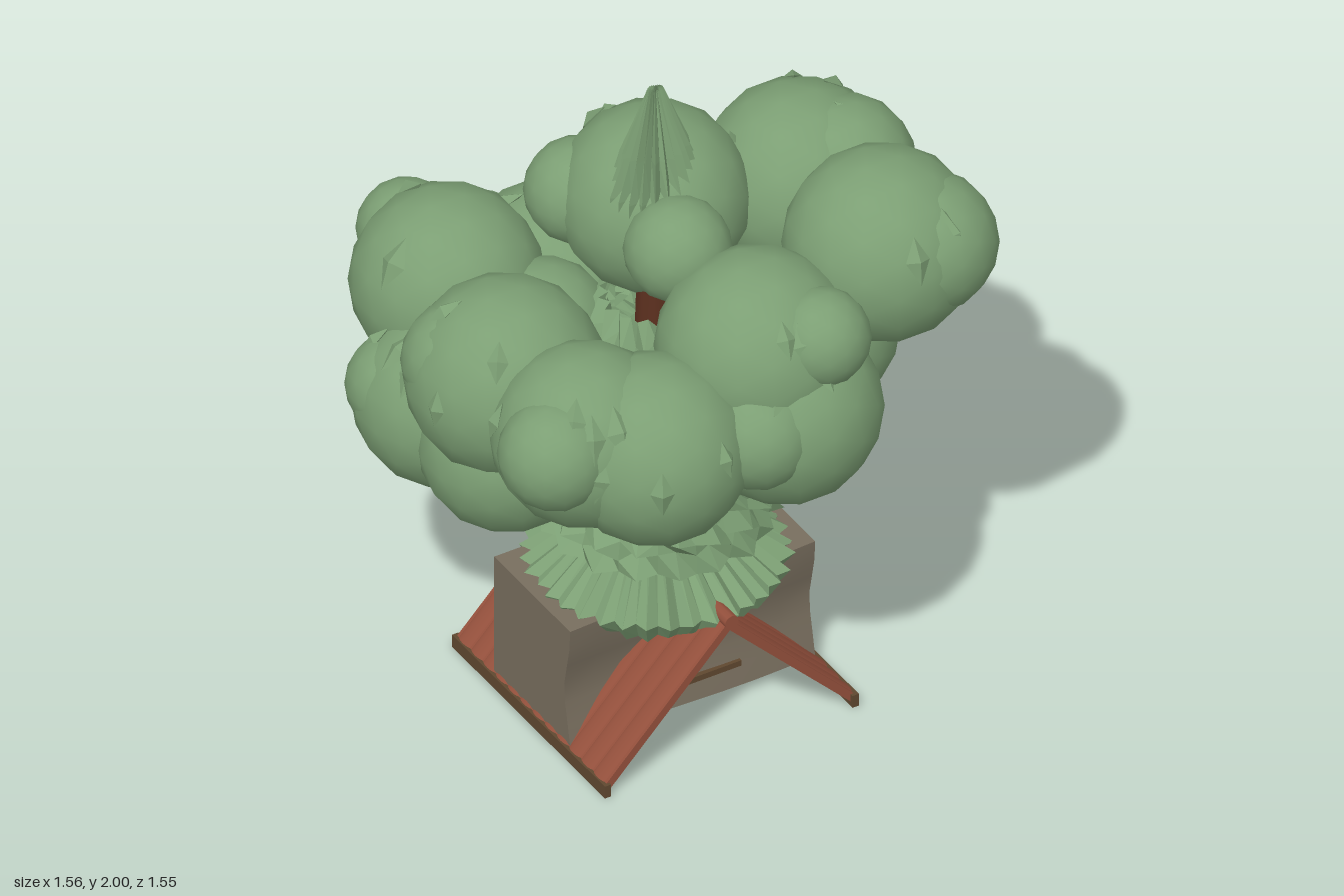
import * as THREE from 'three';

const mat = (name, color, extra = {}) => {
  const m = new THREE.MeshStandardMaterial({ color, ...extra });
  m.name = name;
  return m;
};

export function createModel() {
  const root = new THREE.Group();
  root.name = 'treeOverGabledHouse';
  const leafGreen = mat('leafGreen', 0x7c9f74);
  const needleGreen = mat('needleGreen', 0x7c9f74, { flatShading: true, side: THREE.DoubleSide });
  const stone = mat('stone', 0x786e5e);
  const roofRed = mat('roofRed', 0x94503c);
  const wood = mat('wood', 0x604830);
  const bark = mat('bark', 0x5c301f);

  let seed = 7;
  const rand = () => (seed = (seed * 16807) % 2147483647) / 2147483647;
  const add = (parent, name, geo, m, x = 0, y = 0, z = 0) => {
    const mesh = new THREE.Mesh(geo, m);
    mesh.name = name;
    mesh.position.set(x, y, z);
    parent.add(mesh);
    return mesh;
  };
  const group = (name, parent = root) => {
    const g = new THREE.Group();
    g.name = name;
    parent.add(g);
    return g;
  };

  // Stone block whose front wall is slightly hollow
  const house = group('house');
  const block = new THREE.BoxGeometry(0.78, 0.39, 0.4, 8, 6, 1);
  const p = block.attributes.position;
  for (let i = 0; i < p.count; i++) {
    if (p.getZ(i) > 0) {
      const x = p.getX(i), y = p.getY(i);
      p.setZ(i, 0.16 + 0.035 * Math.min(1, Math.abs(y + 0.02) / 0.17) + 0.005 * Math.sin(x * 9));
    }
  }
  block.computeVertexNormals();
  add(house, 'stoneBlock', block, stone, 0, 0.235, 0);
  add(house, 'chimneyPost', new THREE.BoxGeometry(0.14, 0.2, 0.04), stone, 0.32, 0.52, -0.015);
  add(house, 'chimneyCap', new THREE.BoxGeometry(0.14, 0.02, 0.042), wood, 0.318, 0.619, -0.015);
  add(house, 'chimneyPanel', new THREE.BoxGeometry(0.13, 0.18, 0.006), wood, 0.318, 0.52, 0.007);
  add(house, 'chimneyTrimTop', new THREE.BoxGeometry(0.09, 0.01, 0.006), bark, 0.275, 0.535, 0.011);
  add(house, 'chimneyTrimSide', new THREE.BoxGeometry(0.01, 0.1, 0.006), bark, 0.315, 0.485, 0.011);
  add(house, 'frontSill', new THREE.BoxGeometry(0.35, 0.018, 0.02), wood, -0.02, 0.11, 0.185);
  for (let i = 0; i < 6; i++) {
    const peg = add(house, 'peg', new THREE.IcosahedronGeometry(0.014, 0), wood,
      -0.25 + i * 0.1, 0.042, i % 2 ? 0.09 : -0.08);
    peg.scale.y = 0.5;
  }
  add(house, 'wallKnob', new THREE.IcosahedronGeometry(0.028, 1), bark, 0.02, 0.16, -0.2);

  // Two gently ribbed roof slopes, mirrored about the ridge
  const roof = group('roof');
  const slope = Math.atan2(0.4, 0.39), length = 0.56;
  for (const turn of [0, Math.PI]) {
    const side = group('roofSide', roof);
    side.rotation.y = turn;
    const pitch = group('roofPitch', side);
    pitch.position.set(0.195, 0.225, 0);
    pitch.rotation.z = -slope;
    add(pitch, 'roofPanel', new THREE.BoxGeometry(length, 0.024, 0.78), roofRed);
    for (let i = 0; i < 12; i++) {
      const rib = add(pitch, 'roofRib', new THREE.CylinderGeometry(0.033, 0.033, length, 16), roofRed,
        0, 0.008, -0.352 + i * 0.064);
      rib.rotation.z = Math.PI / 2;
      rib.scale.x = 0.25;
    }
    add(side, 'eaveBoard', new THREE.BoxGeometry(0.02, 0.04, 0.8), wood, 0.393, 0.02, 0);
  }
  const ridge = add(roof, 'ridgeCap', new THREE.CylinderGeometry(0.022, 0.022, 0.8, 10), roofRed, 0, 0.44, 0);
  ridge.rotation.x = Math.PI / 2;

  // Pleated tier lofted from rings [y, radius, pleat depth, y jitter]
  const tier = (rings, n) => {
    const pos = [], index = [];
    rings.forEach(([y, r, d, h], k) => {
      for (let i = 0; i < n; i++) {
        const a = (i / n) * Math.PI * 2;
        const rr = r + (i % 2 ? d : -d) + (rand() - 0.5) * d;
        pos.push(rr * Math.sin(a), y + (rand() - 0.5) * h, rr * Math.cos(a));
        if (k) {
          const j = (i + 1) % n, b = k * n, t = b - n;
          index.push(t + i, b + i, b + j, t + i, b + j, t + j);
        }
      }
    });
    const g = new THREE.BufferGeometry();
    g.setAttribute('position', new THREE.Float32BufferAttribute(pos, 3));
    g.setIndex(index);
    g.computeVertexNormals();
    return g;
  };
  const conifer = group('conifer');
  add(conifer, 'bottomSkirt', tier([[0.6, 0.14, 0.01, 0], [0.43, 0.36, 0.015, 0.02],
    [0.37, 0.315, 0.015, 0.025], [0.43, 0.18, 0, 0]], 72), needleGreen);
  const tiers = [[0.58, 0.322], [0.72, 0.305], [0.84, 0.275], [0.95, 0.235], [1.06, 0.2], [1.16, 0.18]];
  for (const [y, r] of tiers) {
    add(conifer, 'needleTier', tier([[y + 0.15, r * 0.8, 0.012, 0], [y + 0.085, r * 0.98, -0.02, 0.04],
      [y + 0.05, r * 0.92, 0.02, 0.03], [y, r, -0.02, 0.03], [y + 0.02, r * 0.5, 0, 0]], 36), needleGreen);
  }
  const tip = add(conifer, 'treeTip', tier([[2, 0.016, 0.006, 0], [1.8, 0.09, 0.012, 0],
    [1.68, 0.125, 0.014, 0], [1.5, 0.13, 0.015, 0]], 44), needleGreen);
  tip.scale.z = 0.75;

  // Foliage clumps: [x, y, z, radius]
  const clumps = [
    [0.49, 1.53, 0.38, 0.275], [0.485, 1.48, -0.05, 0.275], [0.06, 1.54, -0.11, 0.27],
    [0.1, 1.21, 0.505, 0.275], [-0.3, 1.21, 0.49, 0.27], [0.06, 1.38, 0.43, 0.28],
    [-0.45, 1.24, 0.37, 0.26], [-0.5, 1.25, 0.04, 0.28],
    [-0.52, 1.01, -0.24, 0.26], [-0.48, 1.0, 0.02, 0.25], [-0.28, 0.99, 0.14, 0.23],
    [0.495, 0.99, -0.03, 0.26], [0.5, 1.04, -0.36, 0.26], [0.32, 0.97, -0.5, 0.26],
    [-0.02, 1.05, -0.5, 0.27], [-0.4, 1.23, -0.43, 0.27],
  ];
  const bumps = [
    [-0.59, 1.28, 0.45, 0.16], [0.16, 1.48, 0.6, 0.14], [-0.04, 1.24, 0.6, 0.165],
    [0.58, 1.55, 0.46, 0.2], [0.575, 1.54, 0.04, 0.2], [0.605, 1.03, -0.07, 0.175],
    [0.6, 1.07, -0.35, 0.18], [0.4, 1.1, -0.64, 0.14], [0.2, 1.1, -0.64, 0.14],
    [-0.16, 1.13, -0.64, 0.14], [-0.4, 1.27, -0.64, 0.14], [-0.63, 1.05, -0.3, 0.15],
    [-0.02, 1.56, 0.15, 0.15], [-0.1, 1.54, -0.24, 0.15], [-0.6, 1.3, -0.02, 0.17],
    [0.26, 1.3, 0.32, 0.18], [-0.24, 1.15, -0.2, 0.2], [-0.22, 1.02, -0.57, 0.18],
  ];
  const canopy = group('canopy');
  const leafGeo = new THREE.OctahedronGeometry(1, 0);
  for (const [x, y, z, r] of clumps) {
    add(canopy, 'foliageClump', new THREE.IcosahedronGeometry(r, 2), leafGreen, x, y, z);
    // Diamond leaves poking out of the upper, outer surface
    for (let i = 0; i < 4; i++) {
      const a = Math.atan2(x, z) + (rand() - 0.5) * 2.6, e = 0.1 + rand() * 0.9;
      const dir = new THREE.Vector3(Math.sin(a) * Math.cos(e), Math.sin(e), Math.cos(a) * Math.cos(e));
      const at = dir.clone().multiplyScalar(r * 0.98).add(new THREE.Vector3(x, y, z));
      const leaf = add(canopy, 'leaf', leafGeo, needleGreen, at.x, at.y, at.z);
      leaf.lookAt(at.clone().add(dir));
      const s = 0.7 + rand() * 0.5;
      leaf.scale.set(0.034 * s, 0.068 * s, 0.024 * s);
    }
  }
  for (const [x, y, z, r] of bumps) {
    add(canopy, 'foliageBump', new THREE.IcosahedronGeometry(r, 2), leafGreen, x, y, z);
  }

  // Trunk and branches reaching the clumps
  const trunk = group('trunk');
  add(trunk, 'trunkPole', new THREE.CylinderGeometry(0.05, 0.08, 1.0, 10), bark, 0, 0.95, 0);
  clumps.forEach(([x, y, z]) => {
    const curve = new THREE.QuadraticBezierCurve3(new THREE.Vector3(0, 0.85, 0),
      new THREE.Vector3(x * 0.45, y * 0.5 + 0.47, z * 0.45), new THREE.Vector3(x, y, z));
    add(trunk, 'branch', new THREE.TubeGeometry(curve, 8, 0.026, 7), bark);
  });
  return root;
}
